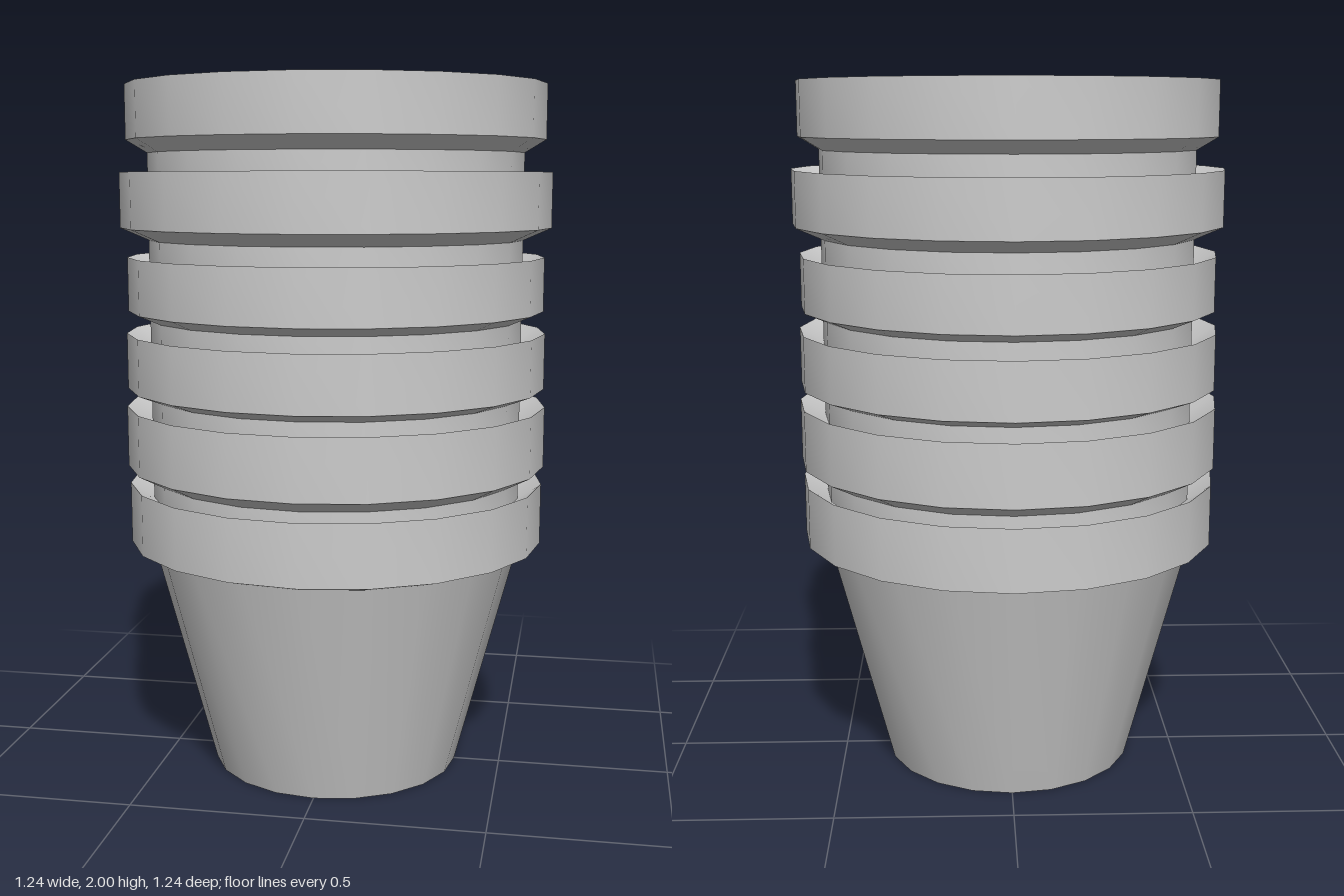
import * as THREE from 'three';
import { toCreasedNormals } from 'three/addons/utils/BufferGeometryUtils.js';

const SIDES = 20;
const INNER = 0.54; // radius of body top, necks and inner disc
const DIP = 0.045; // depth of the sloped lip inside each rim

const material = new THREE.MeshStandardMaterial({ color: 0xcccccc });

// Smooth around the axis, sharp between the profile's segments
function turned(name, profile) {
  const points = profile.map(([r, y]) => new THREE.Vector2(r, y));
  const geometry = toCreasedNormals(new THREE.LatheGeometry(points, SIDES), 0.45);
  const mesh = new THREE.Mesh(geometry, material);
  mesh.name = name;
  return mesh;
}

// Rims from bottom to top: underside start, wall bottom, wall top, radius
const RIMS = [
  [0.663, 0.684, 0.86, 0.607],
  [0.875, 0.912, 1.087, 0.612],
  [1.114, 1.14, 1.3, 0.608],
  [1.337, 1.363, 1.517, 0.602],
  [1.565, 1.6, 1.756, 0.62],
  [1.81, 1.846, 2.0, 0.6],
];

export function createModel() {
  const model = new THREE.Group();
  model.name = 'potStack';

  // Tapered body of the lowest pot, closed underneath
  model.add(turned('lowestPotBody', [[0, 0], [0.365, 0], [INNER, RIMS[0][0]]]));

  RIMS.forEach(([under, bottom, top, radius], i) => {
    const pot = new THREE.Group();
    pot.name = `pot${i + 1}`;

    // Rim: sloped underside, upright wall, lip sloping inwards
    pot.add(turned('rim', [[INNER, under], [radius, bottom], [radius, top], [INNER, top - DIP]]));

    // Neck of the pot nested above, or the flat surface inside the top pot
    const next = RIMS[i + 1];
    pot.add(next
      ? turned('neck', [[INNER, top - DIP], [INNER, next[0]]])
      : turned('innerSurface', [[INNER, top - DIP], [0, top - DIP]]));
    model.add(pot);
  });

  return model;
}
